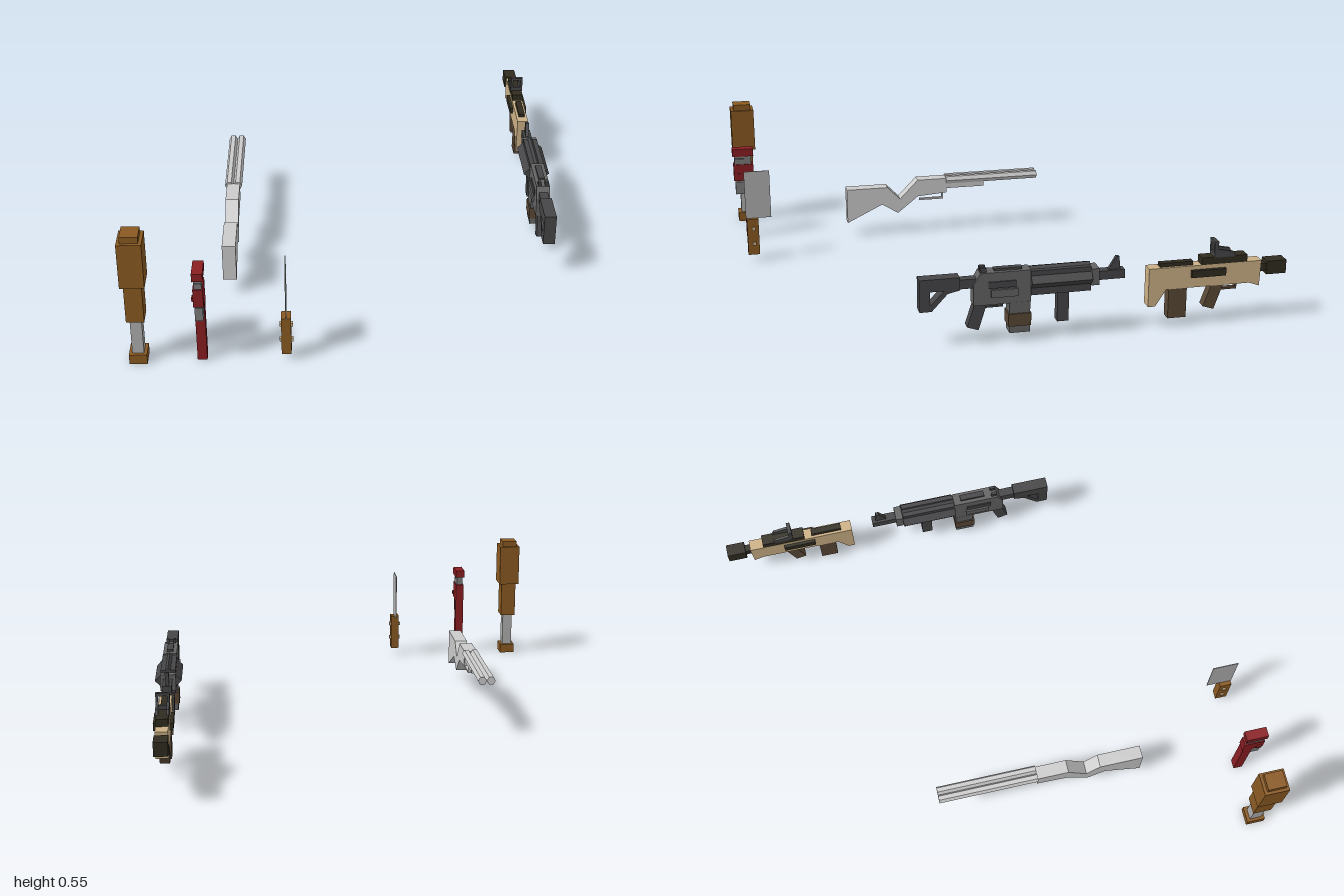
import * as THREE from 'three';

const mat = (name, color) => {
  const m = new THREE.MeshStandardMaterial({ color });
  m.name = name;
  return m;
};

export function createModel() {
  const wood = mat('wood brown', 0x8a5a22);
  const red = mat('tool red', 0x8a1e22);
  const pale = mat('pale grey', 0xcccccc);
  const blade = mat('blade grey', 0xb0b0b0);
  const steel = mat('steel grey', 0x7c7c7c);
  const receiver = mat('receiver grey', 0x646464);
  const dark = mat('dark grey', 0x464648);
  const tan = mat('tan', 0xcdb186);
  const magBrown = mat('dull brown', 0x5a4836);
  const black = mat('near black', 0x302c20);

  const root = new THREE.Group();
  const group = (name, x) => {
    const g = new THREE.Group();
    g.name = name;
    g.position.x = x;
    root.add(g);
    return g;
  };
  const add = (g, name, geo, m) => {
    const mesh = new THREE.Mesh(geo, m);
    mesh.name = name;
    g.add(mesh);
    return mesh;
  };
  // box given by width in x and its y and z ranges, centred on x (plus an offset)
  const box = (g, name, m, w, y0, y1, z0, z1, x = 0) =>
    add(g, name, new THREE.BoxGeometry(w, y1 - y0, Math.abs(z1 - z0))
      .translate(x, (y0 + y1) / 2, (z0 + z1) / 2), m);
  // side profile of [z, y] points extruded to a width in x
  const side = (g, name, m, w, pts, hole) => {
    const v = (p) => p.map(([z, y]) => new THREE.Vector2(-z, y));
    const s = new THREE.Shape(v(pts));
    if (hole) s.holes.push(new THREE.Path(v(hole)));
    const geo = new THREE.ExtrudeGeometry(s, { depth: w, bevelEnabled: false });
    return add(g, name, geo.translate(0, 0, -w / 2).rotateY(Math.PI / 2), m);
  };
  // cross-section of [x, y] points extruded along z
  const along = (g, name, m, pts, z0, z1, hole) => {
    const v = (p) => p.map(([x, y]) => new THREE.Vector2(x, y));
    const s = new THREE.Shape(v(pts));
    if (hole) s.holes.push(new THREE.Path(v(hole)));
    const geo = new THREE.ExtrudeGeometry(s, { depth: z1 - z0, bevelEnabled: false });
    return add(g, name, geo.translate(0, 0, z0), m);
  };

  // Bat: stacked square sections [name, material, width, depth, y0, y1]
  const bat = group('bat', -0.796);
  [['knob', wood, 0.066, 0.075, 0, 0.04],
    ['grip', blade, 0.043, 0.048, 0.04, 0.185],
    ['lowerBarrel', wood, 0.066, 0.075, 0.185, 0.34],
    ['upperBarrel', wood, 0.09, 0.1, 0.34, 0.52],
    ['cap', wood, 0.066, 0.075, 0.52, 0.545],
  ].forEach(([n, m, w, d, y0, y1]) => box(bat, n, m, w, y0, y1, 0.936 - d / 2, 0.936 + d / 2));

  // Pipe wrench
  const wrench = group('wrench', -0.563);
  box(wrench, 'handle', red, 0.036, 0, 0.3, 0.915, 0.952);
  box(wrench, 'shank', steel, 0.026, 0.3, 0.375, 0.918, 0.948);
  box(wrench, 'collar', red, 0.037, 0.262, 0.335, 0.91, 0.995);
  box(wrench, 'pin', red, 0.05, 0.278, 0.295, 0.965, 0.985);
  box(wrench, 'lowerJaw', steel, 0.028, 0.335, 0.358, 0.945, 0.99);
  box(wrench, 'screw', steel, 0.03, 0.2, 0.255, 0.952, 0.99);
  box(wrench, 'upperJaw', red, 0.04, 0.372, 0.405, 0.908, 0.998);
  box(wrench, 'upperJawTeeth', steel, 0.03, 0.362, 0.373, 0.945, 0.99);

  // Cleaver
  const cleaver = group('cleaver', -0.253);
  box(cleaver, 'handle', wood, 0.036, 0.03, 0.187, 0.917, 0.965);
  box(cleaver, 'blade', blade, 0.003, 0.187, 0.392, 0.862, 0.968);
  for (const y of [0.08, 0.146]) box(cleaver, 'rivet', tan, 0.05, y - 0.007, y + 0.007, 0.931, 0.946);

  // Double-barrelled long gun
  const longGun = group('doubleBarrelGun', -0.481);
  side(longGun, 'stock', pale, 0.053, [
    [0.515, 0.215], [0.515, 0.063], [0.36, 0.138], [0.29, 0.094], [0.2, 0.165],
    [0.07, 0.175], [0.07, 0.24], [0.2, 0.24], [0.28, 0.158], [0.335, 0.215]]);
  for (const s of [-1, 1]) {
    const hex = [[1, 0], [0.5, 0.9], [-0.5, 0.9], [-1, 0], [-0.5, -0.9], [0.5, -0.9]]
      .map(([x, y]) => [s * 0.0175 + x * 0.0175, 0.231 + y * 0.0175]);
    along(longGun, 'barrel', pale, hex, -0.34, 0.072);
  }
  box(longGun, 'forend', pale, 0.045, 0.193, 0.222, -0.1, 0.07);
  box(longGun, 'triggerGuard', pale, 0.014, 0.14, 0.147, 0.09, 0.19);
  box(longGun, 'guardPost', pale, 0.014, 0.14, 0.178, 0.083, 0.09);

  // Rifle with an open stock and a diamond handguard
  const rifle = group('rifle', 0.781);
  side(rifle, 'stock', dark, 0.047, [
    [0.415, 0.27], [0.415, 0.145], [0.37, 0.145], [0.31, 0.21], [0.265, 0.22], [0.265, 0.27]],
  [[0.375, 0.222], [0.322, 0.222], [0.375, 0.168]]);
  box(rifle, 'stockTube', dark, 0.036, 0.222, 0.258, 0.2, 0.27);
  side(rifle, 'receiver', receiver, 0.055, [
    [0.215, 0.235], [0.215, 0.155], [0, 0.155], [0, 0.28], [0.19, 0.28]]);
  box(rifle, 'receiverBulge', receiver, 0.074, 0.185, 0.215, 0.05, 0.15);
  box(rifle, 'ejectionPort', dark, 0.064, 0.22, 0.245, 0.055, 0.16);
  box(rifle, 'topRail', dark, 0.025, 0.278, 0.289, 0.03, 0.135);
  side(rifle, 'grip', dark, 0.04, [[0.21, 0.16], [0.238, 0.07], [0.195, 0.055], [0.163, 0.16]]);
  box(rifle, 'triggerGuard', dark, 0.018, 0.137, 0.144, 0.1, 0.18);
  box(rifle, 'guardPost', dark, 0.018, 0.137, 0.157, 0.1, 0.107);
  box(rifle, 'magazine', receiver, 0.056, 0.036, 0.157, 0.002, 0.08);
  box(rifle, 'magazineBand', magBrown, 0.066, 0.064, 0.113, -0.001, 0.085);
  for (const s of [-1, 1]) box(rifle, 'rearSight', dark, 0.012, 0.278, 0.297, 0.165, 0.188, s * 0.014);
  along(rifle, 'handguard', dark,
    [[0.053, 0.232], [0, 0.285], [-0.053, 0.232], [0, 0.179]], -0.23, 0);
  box(rifle, 'handguardCore', dark, 0.058, 0.18, 0.275, -0.228, -0.001);
  box(rifle, 'foregrip', dark, 0.036, 0.062, 0.19, -0.148, -0.104);
  box(rifle, 'barrelBase', receiver, 0.062, 0.2, 0.265, -0.26, -0.23);
  box(rifle, 'barrel', dark, 0.036, 0.214, 0.248, -0.362, -0.26);
  side(rifle, 'frontSight', dark, 0.015, [
    [-0.3, 0.247], [-0.347, 0.247], [-0.342, 0.297], [-0.33, 0.297]]);

  // Compact rifle with the magazine behind the grip
  const compact = group('compactRifle', 0.781);
  side(compact, 'body', tan, 0.047, [
    [-0.455, 0.242], [-0.455, 0.09], [-0.483, 0.09], [-0.525, 0.155], [-0.855, 0.155],
    [-0.895, 0.14], [-0.9, 0.242]]);
  box(compact, 'ejectionPort', black, 0.074, 0.198, 0.226, -0.755, -0.62);
  box(compact, 'rearRail', black, 0.026, 0.24, 0.257, -0.63, -0.5);
  box(compact, 'magazine', magBrown, 0.042, 0.036, 0.157, -0.607, -0.535);
  side(compact, 'grip', magBrown, 0.038, [
    [-0.705, 0.157], [-0.675, 0.072], [-0.718, 0.058], [-0.752, 0.157]]);
  box(compact, 'triggerGuard', magBrown, 0.018, 0.13, 0.138, -0.81, -0.735);
  box(compact, 'guardPost', magBrown, 0.018, 0.13, 0.157, -0.81, -0.802);
  box(compact, 'sightBase', black, 0.046, 0.24, 0.27, -0.842, -0.662);
  along(compact, 'sightFrame', dark,
    [[-0.026, 0.268], [0.026, 0.268], [0.026, 0.332], [-0.026, 0.332]], -0.725, -0.71,
    [[-0.016, 0.285], [-0.016, 0.32], [0.016, 0.32], [0.016, 0.285]]);
  for (const s of [-1, 1]) {
    const wing = side(compact, 'sightWing', dark, 0.01, [
      [-0.725, 0.268], [-0.795, 0.268], [-0.785, 0.288], [-0.725, 0.3]]);
    wing.position.x = s * 0.02;
  }
  box(compact, 'barrel', black, 0.03, 0.195, 0.225, -0.93, -0.9);
  box(compact, 'muzzle', black, 0.052, 0.184, 0.237, -1, -0.922);

  return root;
}
